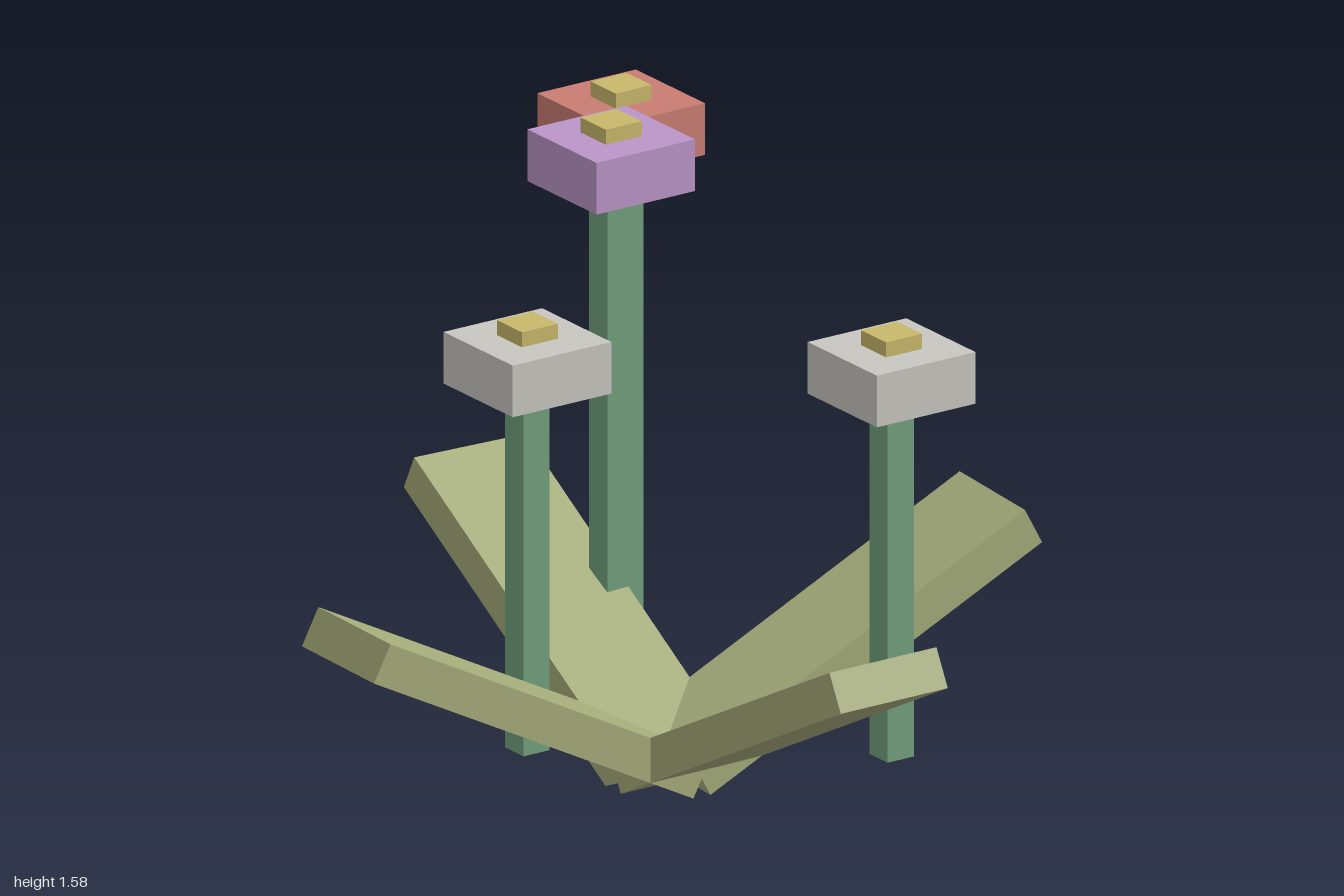
import * as THREE from 'three';

const material = (name, color) => {
  const m = new THREE.MeshStandardMaterial({ color });
  m.name = name;
  return m;
};

function addBox(parent, name, mat, size, position) {
  const mesh = new THREE.Mesh(new THREE.BoxGeometry(...size), mat);
  mesh.name = name;
  mesh.position.set(...position);
  parent.add(mesh);
  return mesh;
}

export function createModel() {
  const model = new THREE.Group();
  model.name = 'flowerPlant';

  const leafGreen = material('leaf green', 0xa5ac7a);
  const stemGreen = material('stem green', 0x72a07c);
  const gold = material('gold', 0xc8b86a);
  const red = material('red', 0xc97d72);
  const purple = material('purple', 0xba95c7);
  const white = material('white', 0xc8c6c0);

  // Four tilted leaves crossing at the base; yaw is measured from +x
  const length = 1.083, thickness = 0.107, width = 0.328, tilt = 0.48;
  const leaves = [
    ['leftLeaf', 0],
    ['backLeaf', 84.9],
    ['rightLeaf', 176.7],
    ['frontLeaf', 271.6 - 3.2 + 0],
  ];
  leaves.forEach(([name, yaw]) => {
    const leaf = new THREE.Group();
    leaf.name = name;
    leaf.rotation.y = THREE.MathUtils.degToRad(yaw);
    const blade = addBox(leaf, name + 'Blade', leafGreen, [length, thickness, width], [
      0.03 + (length / 2) * Math.cos(tilt) - (thickness / 2) * Math.sin(tilt),
      (length / 2) * Math.sin(tilt) + (thickness / 2) * Math.cos(tilt),
      0,
    ]);
    blade.rotation.z = tilt;
    model.add(leaf);
  });

  // Flowers: x, z, height of the stem top, petal colour
  const flowers = [
    ['redFlower', -0.79, -0.413, 1.34, red],
    ['purpleFlower', -0.48, -0.165, 1.388, purple],
    ['frontWhiteFlower', -0.262, 0.245, 0.998, white],
    ['backWhiteFlower', 0.301, -0.476, 0.988, white],
  ];
  flowers.forEach(([name, x, z, top, petalColor]) => {
    const flower = new THREE.Group();
    flower.name = name;
    flower.position.set(x, 0, z);
    addBox(flower, 'stem', stemGreen, [0.08, top - 0.05, 0.08], [0, (top + 0.05) / 2, 0]);
    addBox(flower, 'petals', petalColor, [0.302, 0.138, 0.302], [0, top + 0.083, 0]);
    addBox(flower, 'flowerCentre', gold, [0.11, 0.08, 0.11], [0, top + 0.152, 0]);
    model.add(flower);
  });

  return model;
}
